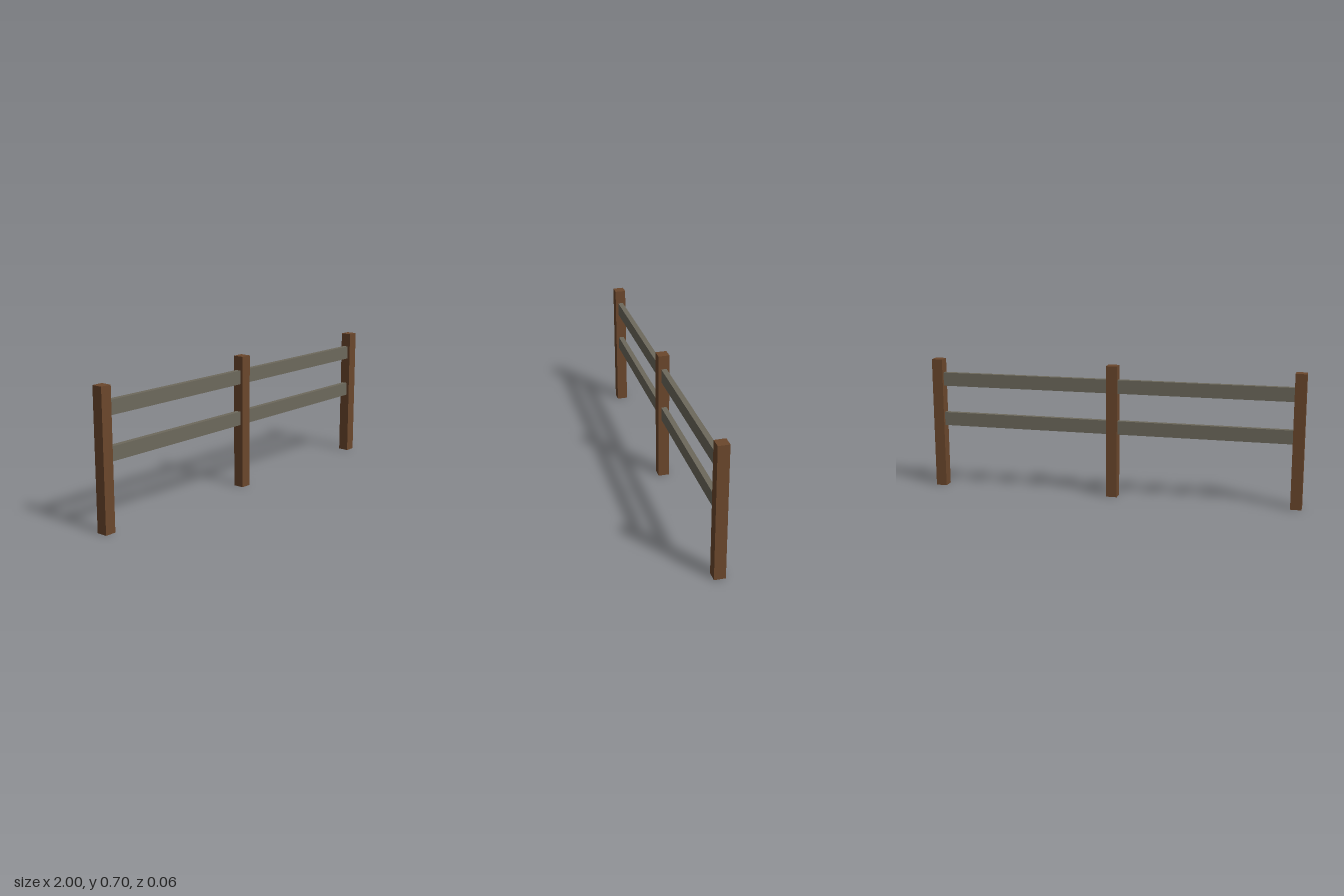
import * as THREE from 'three';

export function createModel() {
  const fence = new THREE.Group();
  fence.name = 'fence';

  const postWood = new THREE.MeshStandardMaterial({ color: 0x6b472c });
  postWood.name = 'brown post wood';
  const railWood = new THREE.MeshStandardMaterial({ color: 0x6d695c });
  railWood.name = 'weathered grey rail wood';

  const POST = 0.058, HEIGHT = 0.705, SPACING = 1 - POST / 2;

  function addBox(name, size, position, material) {
    const mesh = new THREE.Mesh(new THREE.BoxGeometry(...size), material);
    mesh.name = name;
    mesh.position.set(...position);
    fence.add(mesh);
  }

  // Three square posts
  [['rightPost', -1], ['middlePost', 0], ['leftPost', 1]].forEach(([name, i]) =>
    addBox(name, [POST, HEIGHT, POST], [i * SPACING, HEIGHT / 2, 0], postWood));

  // Two rails in each bay, butted between the posts
  for (const [side, s] of [['right', -1], ['left', 1]]) {
    for (const [level, y] of [['Lower', 0.376], ['Upper', 0.595]]) {
      addBox(`${side}${level}Rail`, [SPACING - POST, 0.072, 0.028], [s * SPACING / 2, y, 0], railWood);
    }
  }

  return fence;
}
